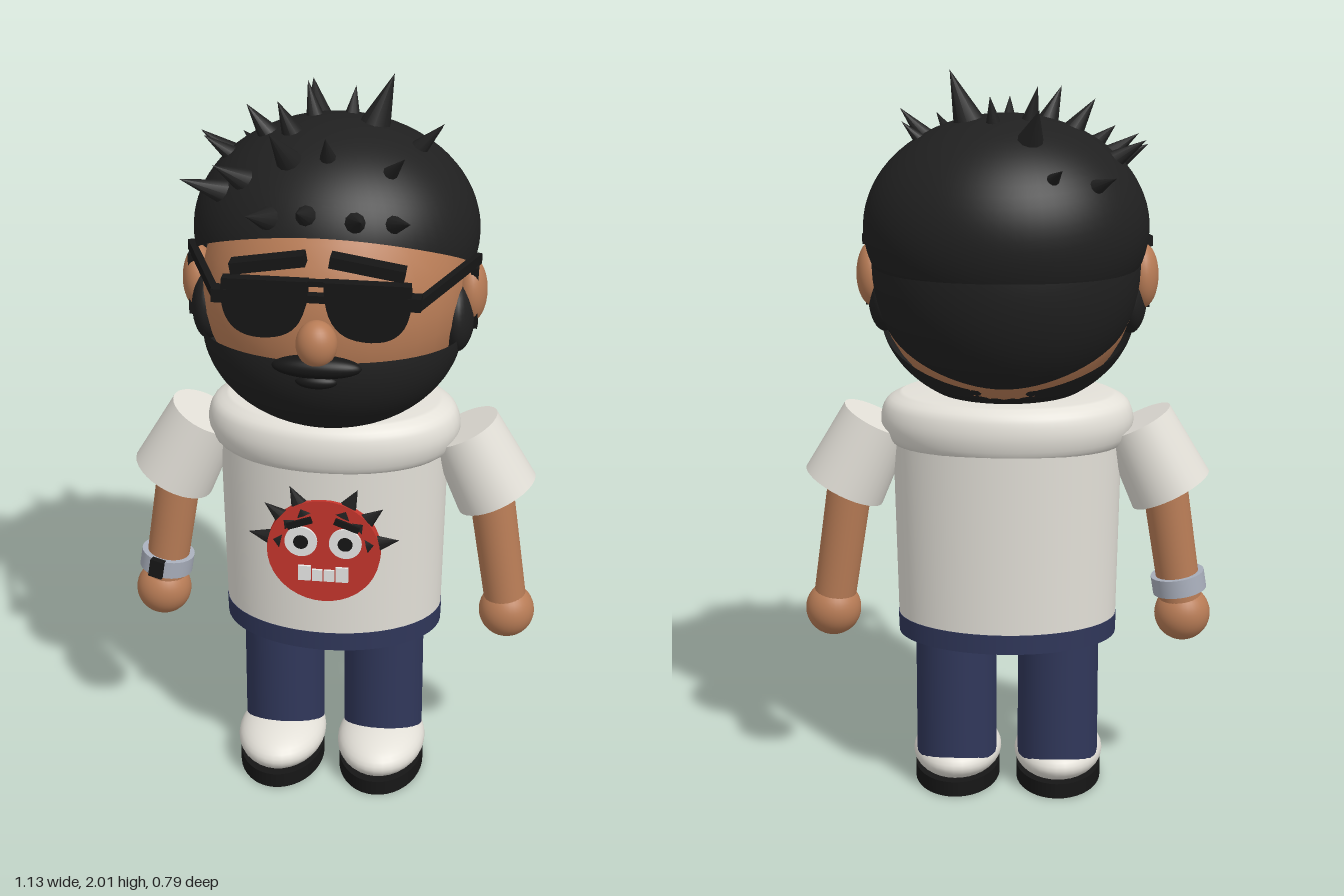
import * as THREE from 'three';

const mat = (name, color, side = THREE.FrontSide) => {
  const m = new THREE.MeshStandardMaterial({ color, side });
  m.name = name;
  return m;
};
const M = {
  skin: mat('skin', 0xb87c56),
  hair: mat('hair black', 0x202020, THREE.DoubleSide),
  black: mat('black', 0x161616),
  shirt: mat('off white cloth', 0xe3e0d8),
  navy: mat('navy denim', 0x30375a),
  red: mat('emblem red', 0xc4352c),
  white: mat('tooth white', 0xececea),
  silver: mat('silver band', 0xa9afbc),
  grey: mat('sole grey', 0x858585),
};

// Piecewise linear interpolation over [position, value] pairs, ascending
function curve(points, s) {
  if (s <= points[0][0]) return points[0][1];
  for (let i = 1; i < points.length; i++) {
    const [a, va] = points[i - 1], [b, vb] = points[i];
    if (s <= b) return va + (vb - va) * (s - a) / (b - a);
  }
  return points[points.length - 1][1];
}

// Part of an ellipsoid above or below an edge whose height depends on how far forward it is
function shell(center, r, edge, above) {
  const W = 64, H = 24;
  const g = new THREE.SphereGeometry(1, W, H, 0, Math.PI * 2, 0.01, Math.PI - 0.02);
  const p = g.attributes.position, n = g.attributes.normal, v = new THREE.Vector3();
  for (let iy = 0, k = 0; iy <= H; iy++) {
    for (let ix = 0; ix <= W; ix++, k++) {
      const phi = ix / W * Math.PI * 2, s = Math.sin(phi);
      const cut = Math.acos(THREE.MathUtils.clamp((curve(edge, s) - center[1]) / r[1], -1, 1));
      const th = above ? cut * iy / H : cut + (Math.PI - cut) * iy / H;
      v.set(-Math.cos(phi) * Math.sin(th), Math.cos(th), s * Math.sin(th));
      p.setXYZ(k, v.x * r[0] + center[0], v.y * r[1] + center[1], v.z * r[2] + center[2]);
      v.set(v.x / r[0], v.y / r[1], v.z / r[2]).normalize();
      n.setXYZ(k, v.x, v.y, v.z);
    }
  }
  return g;
}

export function createModel() {
  const root = new THREE.Group();
  const add = (name, geo, material, pos = [0, 0, 0], scale = [1, 1, 1], parent = root) => {
    const m = new THREE.Mesh(geo, material);
    m.name = name;
    m.position.set(...pos);
    m.scale.set(...scale);
    parent.add(m);
    return m;
  };
  const ball = (name, material, pos, r) => add(name, new THREE.SphereGeometry(1, 32, 20), material, pos, r);
  const box = (name, material, size, pos) => add(name, new THREE.BoxGeometry(...size), material, pos);
  const up = new THREE.Vector3(0, 1, 0);
  // Tapered round bar from a to b
  const bar = (name, material, a, b, ra, rb, sides = 32) => {
    const A = new THREE.Vector3(...a), B = new THREE.Vector3(...b), d = B.clone().sub(A);
    const m = add(name, new THREE.CylinderGeometry(rb, ra, d.length(), sides), material);
    m.position.copy(A).add(B).multiplyScalar(0.5);
    m.quaternion.setFromUnitVectors(up, d.normalize());
    return m;
  };

  // Head, hair and beard
  ball('head', M.skin, [0, 1.46, 0], [0.35, 0.357, 0.335]);
  const cap = { c: [0, 1.6, -0.05], r: [0.377, 0.295, 0.342] };
  add('hairCap', shell(cap.c, cap.r, [[-1, 1.41], [0, 1.5], [0.3, 1.56], [1, 1.69]], true), M.hair);
  add('backHair', shell([0, 1.5, -0.04], [0.357, 0.376, 0.335],
    [[-1, 1.205], [-0.1, 1.335], [0.15, 1.72]], true), M.hair);
  add('beard', shell([0, 1.365, 0.035], [0.345, 0.272, 0.327],
    [[-1, 1.185], [-0.15, 1.3], [0, 1.35], [1, 1.39]], false), M.hair);

  // Hair spikes: x, z, length, radius; they stand out from the hair cap
  const spikes = [
    [0.1, -0.07, 0.135, 0.045], [-0.07, -0.22, 0.1, 0.04], [-0.24, -0.26, 0.07, 0.025],
    [-0.13, -0.31, 0.06, 0.022], [0.03, -0.135, 0.07, 0.024], [-0.065, -0.1, 0.09, 0.027],
    [-0.18, -0.03, 0.09, 0.033], [-0.11, 0.01, 0.09, 0.033], [-0.29, -0.085, 0.09, 0.028],
    [-0.28, -0.03, 0.08, 0.026], [0.22, -0.02, 0.09, 0.027], [0.23, -0.065, 0.06, 0.02],
    [-0.28, 0.11, 0.12, 0.035], [-0.22, 0.13, 0.1, 0.036], [-0.1, 0.13, 0.12, 0.038],
    [0, 0.13, 0.08, 0.026], [0.16, 0.13, 0.08, 0.024], [-0.14, 0.235, 0.1, 0.036],
    [-0.04, 0.25, 0.09, 0.032], [0.085, 0.25, 0.09, 0.032], [0.18, 0.22, 0.09, 0.028],
  ];
  for (const [x, z, len, rad] of spikes) {
    const u = x / cap.r[0], w = (z - cap.c[2]) / cap.r[2];
    const h = Math.sqrt(Math.max(0, 1 - u * u - w * w));
    const base = new THREE.Vector3(x, cap.c[1] + h * cap.r[1], z);
    const d = new THREE.Vector3(x, base.y - cap.c[1], z - cap.c[2]).normalize();
    const m = add('hairSpike', new THREE.ConeGeometry(rad, len + 0.02, 10), M.hair);
    m.position.copy(base).addScaledVector(d, len / 2 - 0.01);
    m.quaternion.setFromUnitVectors(up, d);
  }

  // Face
  ball('nose', M.skin, [0, 1.435, 0.345], [0.053, 0.062, 0.05]);
  ball('moustache', M.black, [0, 1.372, 0.345], [0.115, 0.03, 0.035]);
  ball('lowerLip', M.black, [0, 1.335, 0.35], [0.055, 0.02, 0.025]);

  // Sunglasses lens outline: flat top with a rounded lower edge
  const lens = new THREE.Shape();
  lens.moveTo(-0.108, 0.075);
  lens.lineTo(0.108, 0.075);
  lens.bezierCurveTo(0.12, -0.02, 0.09, -0.08, 0.01, -0.08);
  lens.bezierCurveTo(-0.07, -0.08, -0.108, -0.04, -0.108, 0.075);
  box('glassesBridge', M.black, [0.07, 0.02, 0.025], [0, 1.56, 0.345]);
  box('glassesTopBar', M.black, [0.1, 0.014, 0.02], [0, 1.6, 0.345]);

  for (const s of [-1, 1]) {
    ball('ear', M.skin, [s * 0.362, 1.46, 0.005], [0.042, 0.087, 0.064]);
    ball('sideburn', M.hair, [s * 0.33, 1.4, 0.025], [0.045, 0.1, 0.098]);
    const brow = box('eyebrow', M.black, [0.19, 0.03, 0.045], [s * 0.125, 1.638, 0.318]);
    brow.rotation.z = -s * 0.16;
    const l = add('lens', new THREE.ExtrudeGeometry(lens, { depth: 0.03, bevelEnabled: false, curveSegments: 12 }),
      M.black, [s * 0.128, 1.533, 0.333]);
    if (s < 0) l.rotation.y = Math.PI, l.position.z += 0.03;
    box('glassesHinge', M.black, [0.04, 0.035, 0.04], [s * 0.243, 1.56, 0.345]);
    const arm = box('glassesArm', M.black, [0.018, 0.028, 0.36], [s * 0.316, 1.552, 0.175]);
    arm.rotation.y = -s * 0.36;
    box('glassesEarHook', M.black, [0.02, 0.17, 0.03], [s * 0.372, 1.455, 0.035]);
  }

  // Torso
  const oval = [1, 1, 0.71];
  add('shirt', new THREE.CylinderGeometry(0.312, 0.3, 0.54, 48), M.shirt, [0, 0.77, 0.003], oval);
  add('waistband', new THREE.CylinderGeometry(0.302, 0.3, 0.055, 48), M.navy, [0, 0.485, 0.003], oval);
  const collar = new THREE.SplineCurve([[0.295, 0.99], [0.328, 1.015], [0.343, 1.065], [0.328, 1.115], [0.285, 1.14]]
    .map(p => new THREE.Vector2(...p))).getPoints(16);
  collar.push(new THREE.Vector2(0.2, 1.142), new THREE.Vector2(0, 1.142));
  add('collar', new THREE.LatheGeometry(collar, 48), M.shirt, [0, 0, 0.004], [1, 1, 0.685]);

  // Chest emblem: a round face with spiky hair
  const emblem = new THREE.Group();
  emblem.name = 'chestEmblem';
  emblem.position.set(0, 0.775, 0.228);
  root.add(emblem);
  const disc = (name, material, r, depth, pos) => {
    add(name, new THREE.CylinderGeometry(r, r, depth, 40), material, pos, [1, 1, 1], emblem).rotation.x = Math.PI / 2;
  };
  const plate = (name, material, w, h, pos) =>
    add(name, new THREE.BoxGeometry(w, h, 0.008), material, pos, [1, 1, 1], emblem);
  disc('emblemFace', M.red, 0.153, 0.03, [0, 0, -0.012]);
  for (const s of [-1, 1]) {
    for (const deg of [12, 40, 64]) {
      const a = deg * Math.PI / 180;
      const m = add('emblemSpike', new THREE.ConeGeometry(0.036, 0.09, 8), M.hair,
        [s * Math.cos(a) * 0.163, Math.sin(a) * 0.163, -0.008], [1, 1, 0.4], emblem);
      m.rotation.z = s * (a - Math.PI / 2);
    }
    disc('emblemEye', M.white, 0.044, 0.008, [s * 0.06, 0.03, 0.006]);
    disc('emblemPupil', M.black, 0.02, 0.008, [s * 0.06, 0.03, 0.009]);
    plate('emblemBrow', M.black, 0.07, 0.018, [s * 0.064, 0.085, 0.007]).rotation.z = -s * 0.35;
    plate('emblemOuterTooth', M.white, 0.034, 0.044, [s * 0.051, -0.066, 0.006]);
    plate('emblemInnerTooth', M.white, 0.028, 0.034, [s * 0.016, -0.071, 0.006]);
  }

  for (const s of [-1, 1]) {
    // Arm
    bar('sleeve', M.shirt, [s * 0.447, 0.87, 0.003], [s * 0.352, 1.06, 0.003], 0.116, 0.1);
    bar('forearm', M.skin, [s * 0.482, 0.54, 0.014], [s * 0.425, 0.92, 0.005], 0.058, 0.062);
    ball('hand', M.skin, [s * 0.486, 0.508, 0.015], [0.077, 0.077, 0.074]);
    // Leg and shoe
    add('trouserLeg', new THREE.CylinderGeometry(0.112, 0.112, 0.38, 32), M.navy, [s * 0.142, 0.285, 0.003]);
    ball('shoe', M.shirt, [s * 0.143, 0.083, 0.055], [0.124, 0.067, 0.182]);
    add('sole', new THREE.CylinderGeometry(0.119, 0.119, 0.043, 40), M.black, [s * 0.143, 0.0235, 0.055], [1, 1, 1.52]);
    add('solePatch', new THREE.CylinderGeometry(0.05, 0.05, 0.006, 32), M.grey, [s * 0.143, 0.003, 0.055], [1, 1, 1.5]);
  }

  // Wristband on the right arm
  const wrist = bar('wristband', M.silver, [-0.478, 0.575, 0.014], [-0.47, 0.625, 0.013], 0.074, 0.074);
  const face = add('wristbandFace', new THREE.BoxGeometry(0.04, 0.052, 0.02), M.black, [-0.016, 0, 0.07], [1, 1, 1], wrist);
  face.rotation.y = -0.22;

  return root;
}
